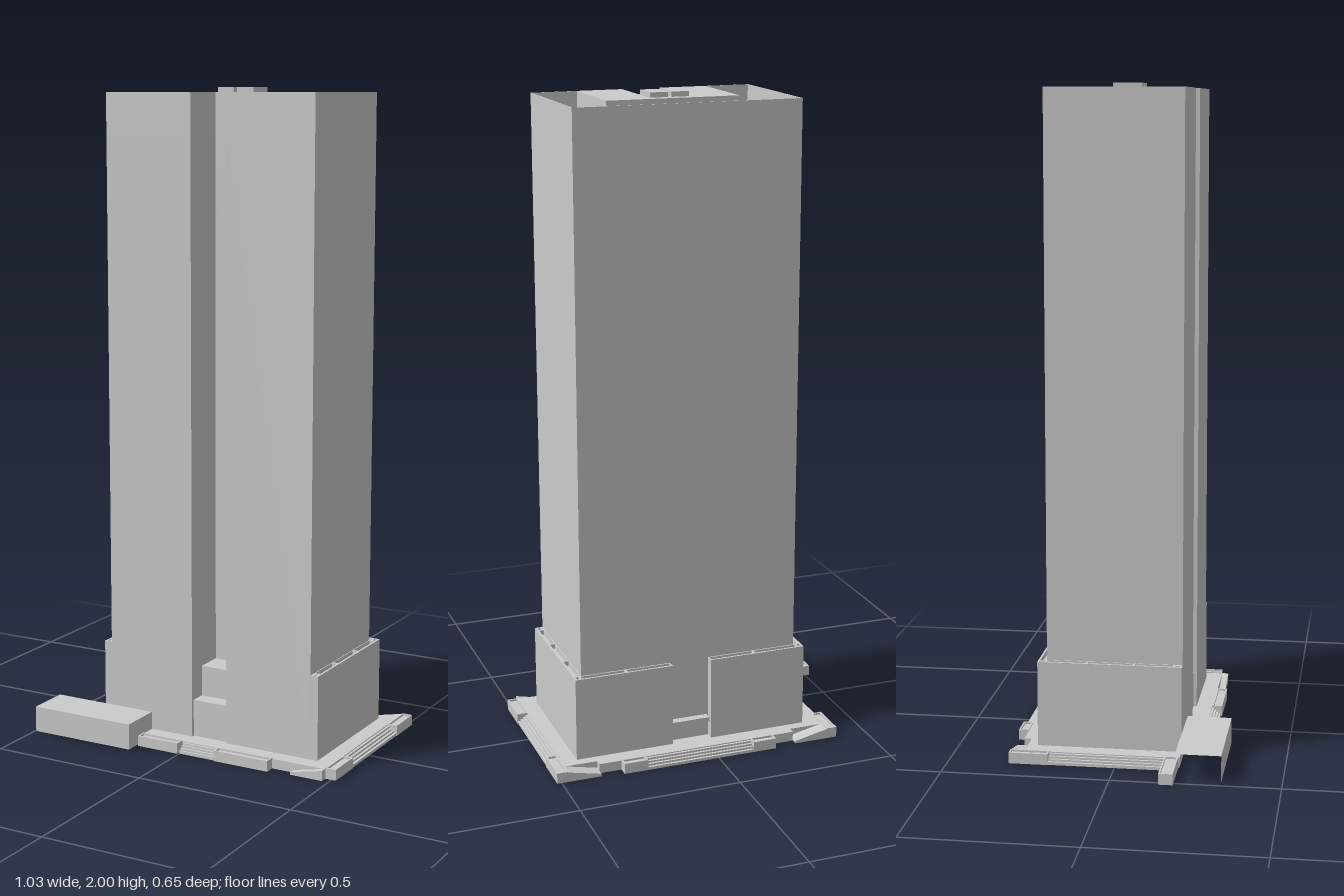
import * as THREE from 'three';

const CX = 0.0575; // the tower's own centre line
const TOP = 1.985, ROOF = 1.86;

export function createModel() {
  const model = new THREE.Group();
  const mat = new THREE.MeshStandardMaterial({ color: 0xcccccc, flatShading: true });
  const smooth = new THREE.MeshStandardMaterial({ color: 0xcccccc });
  const sheet = new THREE.MeshStandardMaterial({ color: 0xcccccc, flatShading: true, side: THREE.DoubleSide });

  const add = (name, geo, m = mat) => {
    const mesh = new THREE.Mesh(geo, m);
    mesh.name = name;
    model.add(mesh);
    return mesh;
  };

  // box given by its limits on each axis
  const box = (name, x0, x1, y0, y1, z0, z1) => {
    const g = new THREE.BoxGeometry(x1 - x0, y1 - y0, z1 - z0);
    g.translate((x0 + x1) / 2, (y0 + y1) / 2, (z0 + z1) / 2);
    return add(name, g);
  };

  // plan outline of [x, z] points raised from y0 to y1, with rectangular holes
  const raise = (name, points, y0, y1, holes = []) => {
    const v = (list) => list.map(([x, z]) => new THREE.Vector2(x, -z));
    const shape = new THREE.Shape(v(points));
    for (const h of holes) shape.holes.push(new THREE.Path(v(rect(...h))));
    const g = new THREE.ExtrudeGeometry(shape, { depth: y1 - y0, bevelEnabled: false });
    g.rotateX(-Math.PI / 2);
    g.translate(0, y0, 0);
    return add(name, g);
  };
  const rect = (x0, x1, z0, z1) => [[x0, z0], [x0, z1], [x1, z1], [x1, z0]];

  // plan with a slot cut into the front
  const slotted = (x0, x1, z0, z1) => [
    [x0, z0], [x0, z1], [0, z1], [0, 0.042], [0.12, 0.042], [0.12, z1], [x1, z1], [x1, z0]];

  // tower shaft, parapet and roof core
  const [tx0, tx1, tz0, tz1] = [-0.29, 0.405, -0.22, 0.19];
  raise('towerShaft', slotted(tx0, tx1, tz0, tz1), 0.005, ROOF);
  raise('roofCore', slotted(-0.147, 0.263, -0.09, tz1), ROOF, TOP);
  const t = 0.003;
  box('parapetBack', tx0, tx1, ROOF, TOP, tz0, tz0 + t);
  box('parapetRight', tx0, tx0 + t, ROOF, TOP, tz0, tz1);
  box('parapetLeft', tx1 - t, tx1, ROOF, TOP, tz0, tz1);
  box('parapetFrontRight', tx0, -0.147, ROOF, TOP, tz1 - t, tz1);
  box('parapetFrontLeft', 0.263, tx1, ROOF, TOP, tz1 - t, tz1);
  box('liftHousing', 0, 0.053, TOP, 2, -0.06, 0.027);
  box('liftHousing', 0.064, 0.12, TOP, 2, -0.06, 0.027);

  // rows of barrel units on the roof
  for (const x of [-0.218, 0.334]) {
    for (let i = 0; i < 6; i++) {
      const g = new THREE.CylinderGeometry(0.018, 0.018, 0.136, 20);
      g.rotateZ(Math.PI / 2);
      g.translate(x, ROOF + 0.006, -0.037 + i * 0.0408);
      add('roofBarrel', g, smooth);
    }
  }

  // stepped entrance inside the front slot
  box('entranceUpper', 0, 0.12, 0.005, 0.24, 0.04, 0.13);
  box('entranceLower', 0, 0.12, 0.005, 0.145, 0.13, 0.18);

  // podium wings with planting troughs along their top edges
  for (const s of [-1, 1]) {
    const m = (x) => CX + s * x;
    const span = (a, b) => [Math.min(m(a), m(b)), Math.max(m(a), m(b))];
    const side = s < 0 ? 'Right' : 'Left';
    box('podium' + side, ...span(0.0625, 0.3725), 0.005, 0.275, -0.245, -0.2);
    box('podiumFlank' + side, ...span(0.34, 0.3725), 0.005, 0.275, -0.2, 0.19);
    raise('podiumTroughsBack' + side, rect(...span(0.0625, 0.3725), -0.245, -0.22), 0.275, 0.29, [
      [...span(0.066, 0.205), -0.239, -0.224],
      [...span(0.212, 0.35), -0.239, -0.224],
      [...span(0.357, 0.366), -0.239, -0.224]]);
    raise('podiumTroughsSide' + side, rect(...span(0.346, 0.3725), -0.22, 0.19), 0.275, 0.29, [
      [...span(0.35, 0.366), -0.216, -0.1],
      [...span(0.35, 0.366), -0.092, 0.042],
      [...span(0.35, 0.366), 0.05, 0.162],
      [...span(0.357, 0.366), 0.17, 0.182]]);
  }
  box('backDoorCanopy', 0, 0.12, 0.085, 0.1, -0.245, -0.215);

  // ground slab
  raise('groundSlab', [
    [-0.367, -0.275], [-0.367, 0.19], [-0.145, 0.19], [-0.145, 0.24], [0.48, 0.24],
    [0.48, -0.275], [0.375, -0.275], [0.375, -0.297], [-0.26, -0.297], [-0.26, -0.275]], 0, 0.03);

  // planters: rim with a sunken bed
  const planter = (x0, x1, z0, z1) => {
    const r = 0.005;
    raise('planterRim', rect(x0, x1, z0, z1), 0, 0.033, [[x0 + r, x1 - r, z0 + r, z1 - r]]);
    box('planterBed', x0 + r, x1 - r, 0.002, 0.027, z0 + r, z1 - r);
  };
  planter(-0.19, -0.115, -0.328, -0.297);
  planter(0.23, 0.305, -0.328, -0.297);
  planter(-0.4, -0.367, -0.318, -0.2);
  planter(-0.515, -0.367, 0.145, 0.187);
  planter(0.48, 0.514, -0.318, -0.2);
  planter(0.48, 0.514, 0.12, 0.238);
  planter(-0.145, -0.005, 0.24, 0.272);
  planter(0.122, 0.305, 0.24, 0.272);

  // stairs down to the street: depth runs outward from the inner edge
  const stairs = (axis, inner, outer, a, b) => {
    const n = 4;
    for (let i = 0; i < n; i++) {
      const end = inner + (outer - inner) * (i + 1) / n;
      const start = inner + (outer - inner) * i / n;
      const lo = Math.min(start, end), hi = Math.max(start, end);
      const h = 0.03 - (i + 0.5) * 0.006;
      if (axis === 'x') box('stairStep', lo, hi, 0, h, a, b);
      else box('stairStep', a, b, 0, h, lo, hi);
    }
  };
  stairs('z', -0.297, -0.328, -0.115, 0.23);
  stairs('z', 0.24, 0.268, 0, 0.12);
  stairs('x', -0.367, -0.398, -0.2, 0.145);
  stairs('x', 0.48, 0.512, -0.2, 0.12);

  // corner ramps: wedges that are high at the outer end
  const ramp = (xLow, xHigh, z0, z1) => {
    const shape = new THREE.Shape([[xLow, 0], [xHigh, 0], [xHigh, 0.031], [xLow, 0.008]]
      .map(([x, y]) => new THREE.Vector2(x, y)));
    const g = new THREE.ExtrudeGeometry(shape, { depth: z1 - z0, bevelEnabled: false });
    g.translate(0, 0, z0);
    add('cornerRamp', g);
  };
  ramp(-0.26, -0.367, -0.318, -0.275);
  ramp(0.375, 0.48, -0.318, -0.275);
  ramp(0.375, 0.48, 0.24, 0.26);

  // street canopy: open underneath and at the outer end
  const panel = (name, w, h, x, y, z, rx, ry) => {
    const p = add(name, new THREE.PlaneGeometry(w, h), sheet);
    p.position.set(x, y, z);
    p.rotation.set(rx, ry, 0);
  };
  panel('canopyTop', 0.344, 0.135, -0.317, 0.085, 0.2575, -Math.PI / 2, 0);
  panel('canopyFront', 0.344, 0.08, -0.317, 0.045, 0.325, 0, 0);
  panel('canopyEnd', 0.135, 0.08, -0.145, 0.045, 0.2575, 0, Math.PI / 2);

  return model;
}
